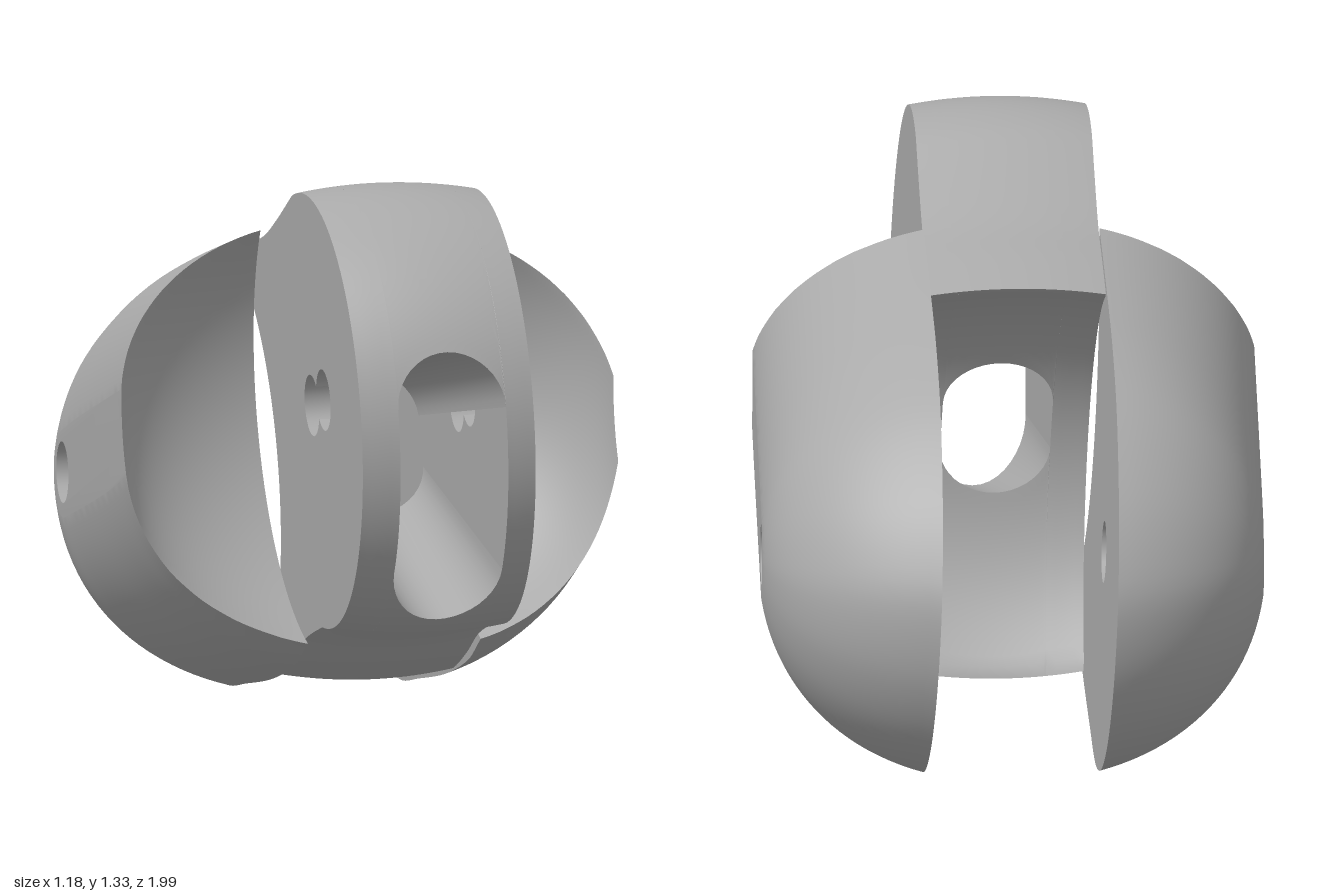
import * as THREE from 'three';
import { mergeGeometries, toCreasedNormals } from 'three/addons/utils/BufferGeometryUtils.js';

// All 2D points are side-profile points: x holds the model's z, y holds its y.
const P = (z, y) => new THREE.Vector2(z, y);
const HALF = 0.208;              // half width of the tongue and of the rear slot
const FRONT = P(0.5, 0.8);       // front pivot
const REAR = P(-0.51, 0.52);     // rear pivot
const SLOT_R = 0.625;            // radius of the rear slot's end

// The tongue and slot lean slightly sideways
const lean = (z, y) => 0.02 - 0.04 * (y - 0.8) + 0.04 * (z - 0.5);
function place(u, p) {
  const k = Math.min(1, Math.max(0, (0.6 - Math.abs(u)) / (0.6 - HALF)));
  return [u + lean(p.x, p.y) * k, p.y, p.x];
}

function arc(c, rz, ry, a0, a1, n) {
  return Array.from({ length: n + 1 }, (_, i) => {
    const a = a0 + (a1 - a0) * i / n;
    return P(c.x + rz * Math.cos(a), c.y + ry * Math.sin(a));
  });
}

// Pull a point toward the line a-b by factor s
function shrink(p, a, b, s) {
  const d = b.clone().sub(a);
  const t = Math.min(1, Math.max(0, p.clone().sub(a).dot(d) / d.lengthSq()));
  const m = a.clone().addScaledVector(d, t);
  return m.addScaledVector(p.clone().sub(m), s);
}

// Surface through closed loops of equal length at the sideways positions us
function loft(us, loops) {
  const pos = [], idx = [], n = loops[0].length;
  loops.forEach((loop, i) => loop.forEach(p => pos.push(...place(us[i], p))));
  for (let i = 0; i < loops.length - 1; i++) {
    for (let j = 0; j < n; j++) {
      const a = i * n + j, b = i * n + (j + 1) % n;
      idx.push(a, b, a + n, b, b + n, a + n);
    }
  }
  const g = new THREE.BufferGeometry();
  g.setAttribute('position', new THREE.Float32BufferAttribute(pos, 3));
  g.setIndex(idx);
  return g.toNonIndexed();
}

// Flat face with a hole
function cap(u, loop, hole) {
  const shape = new THREE.Shape(loop);
  if (hole) shape.holes.push(new THREE.Path(hole));
  const g = new THREE.ShapeGeometry(shape).toNonIndexed();
  const a = g.attributes.position;
  for (let i = 0; i < a.count; i++) a.setXYZ(i, ...place(u, P(a.getX(i), a.getY(i))));
  g.deleteAttribute('uv');
  g.deleteAttribute('normal');
  return g;
}

const finish = parts => toCreasedNormals(mergeGeometries(parts), 0.55);
const range = (a, b, n) => Array.from({ length: n + 1 }, (_, i) => a + (b - a) * i / n);

// Outer silhouette of the tongue and its neck, upper and lower halves
const topTail = new THREE.SplineCurve([
  P(0.354, 1.312), P(0.2, 1.235), P(0.05, 1.17), P(-0.1, 1.135), P(-0.256, 1.095)]);
const bottomTail = new THREE.SplineCurve([
  P(0.5, 0.265), P(0.33, 0.215), P(0.2, 0.15), P(0.05, 0.09), P(-0.05, 0.08)]);
const ANG_TOP = 1.18, ANG_BOTTOM = -0.77;

function upperProfile(yFront, yRear) {
  return [
    ...arc(FRONT, 0.5, 0.535, Math.asin((yFront - 0.8) / 0.535), 1.866, 32),
    ...topTail.getPoints(16).slice(1),
    ...arc(REAR, SLOT_R, SLOT_R, ANG_TOP, Math.asin((yRear - 0.52) / SLOT_R), 16).slice(1)];
}
function lowerProfile(yFront, yRear) {
  return [
    ...arc(FRONT, 0.5, 0.535, Math.asin((yFront - 0.8) / 0.535), -Math.PI / 2, 24),
    ...bottomTail.getPoints(16).slice(1),
    ...arc(REAR, SLOT_R, SLOT_R, ANG_BOTTOM, Math.asin((yRear - 0.52) / SLOT_R), 16).slice(1)];
}
// Slight barrel shape across the width
const barrel = (loop, u) => loop.map(p => shrink(p, REAR, FRONT, 1 - 0.035 * (u / HALF) ** 2));

// Two overlapping pin holes joined into one outline
function doubleHole() {
  const a = P(0.6, 0.84), b = P(0.48, 0.81), r = 0.073;
  const dir = Math.atan2(b.y - a.y, b.x - a.x), w = Math.acos(a.distanceTo(b) / 2 / r);
  const T = 2 * Math.PI;
  return [...arc(a, r, r, dir + w, dir + T - w, 24),
    ...arc(b, r, r, dir + Math.PI + w, dir + Math.PI + T - w, 24).slice(1, -1)];
}

// Tongue side wall with the pin holes
function wallGeometry(u0, u1) {
  const us = range(u0, u1, 4), hole = doubleHole();
  const full = [...upperProfile(0.8, 0.6), ...lowerProfile(0.8, 0.6).reverse().slice(1, -1)];
  const loops = us.map(u => barrel(full, u));
  return finish([loft(us, loops), loft([u0, u1], [hole, hole]),
    cap(u0, loops[0], hole), cap(u1, loops[4], hole)]);
}

// Material above or below the long round-ended tunnel
const TUNNEL_MID = 0.01, TUNNEL_R = 0.13;
function bridgeGeometry(upper) {
  const us = range(0, Math.PI, 20).map(a => TUNNEL_MID - TUNNEL_R * Math.cos(a));
  const loops = us.map(u => {
    const d = Math.sqrt(Math.max(0, TUNNEL_R ** 2 - (u - TUNNEL_MID) ** 2));
    return barrel(upper ? upperProfile(0.87 + d, 0.72 + 0.85 * d)
      : lowerProfile(0.46 - d, 0.6 - 0.85 * d), u);
  });
  return finish([loft(us, loops)]);
}

// Side silhouette of the rear body, open toward the front
const bodyCurve = new THREE.SplineCurve([
  P(0.3, 1.23), P(0.03, 1.165), P(-0.3, 1.085), P(-0.52, 1.02), P(-0.72, 0.92),
  P(-0.88, 0.77), P(-0.97, 0.62), P(-1, 0.49), P(-0.97, 0.32), P(-0.87, 0.16),
  P(-0.71, 0.045), P(-0.52, 0.003), P(-0.3, 0.035), P(-0.03, 0.085), P(0.2, 0.15),
  P(0.33, 0.215), P(0.48, 0.29)]);
const bodyPoints = bodyCurve.getSpacedPoints(1500);

// Section of a cheek: shrunken silhouette, cut in front by a hollow about the front pivot
function cheekSection(s) {
  const r = 0.22 + 0.38 * s;
  const kept = bodyPoints.map(p => shrink(p, REAR, P(0.3, 0.745), s))
    .filter(p => p.distanceTo(FRONT) > r);
  const outer = range(0, kept.length - 1, 90).map(i => kept[Math.round(i)]);
  const angle = p => (Math.atan2(p.y - FRONT.y, p.x - FRONT.x) + 2 * Math.PI) % (2 * Math.PI);
  const hollow = arc(FRONT, r, r, angle(outer[90]), angle(outer[0]), 30).slice(1, -1);
  return [...outer, ...hollow];
}

function cheekGeometry(side) {
  const e = 2 / 2.2, phis = range(0.317, 1.4, 22);
  const us = phis.map(a => side * 0.6 * Math.sin(a) ** e);
  const s0 = Math.cos(phis[0]) ** e;
  const loops = phis.map(a => cheekSection(Math.cos(a) ** e / s0));
  const hole = arc(REAR, 0.073, 0.073, 0, 2 * Math.PI, 32).slice(0, -1);
  return finish([loft(us, loops), cap(us[0], loops[0], hole), cap(us[22], loops[22], hole),
    loft([us[0], us[22]], [hole, hole])]);
}

export function createModel() {
  const gray = new THREE.MeshStandardMaterial({ color: 0xaaaaaa, side: THREE.DoubleSide });
  gray.name = 'gray';
  const group = new THREE.Group();
  group.name = 'jointLink';
  const add = (name, geometry) => {
    const mesh = new THREE.Mesh(geometry, gray);
    mesh.name = name;
    group.add(mesh);
  };
  add('tongueWallRight', wallGeometry(-HALF, TUNNEL_MID - TUNNEL_R));
  add('tongueWallLeft', wallGeometry(TUNNEL_MID + TUNNEL_R, HALF));
  add('tongueTop', bridgeGeometry(true));
  add('tongueBottom', bridgeGeometry(false));
  add('cheekLeft', cheekGeometry(1));
  add('cheekRight', cheekGeometry(-1));
  return group;
}
